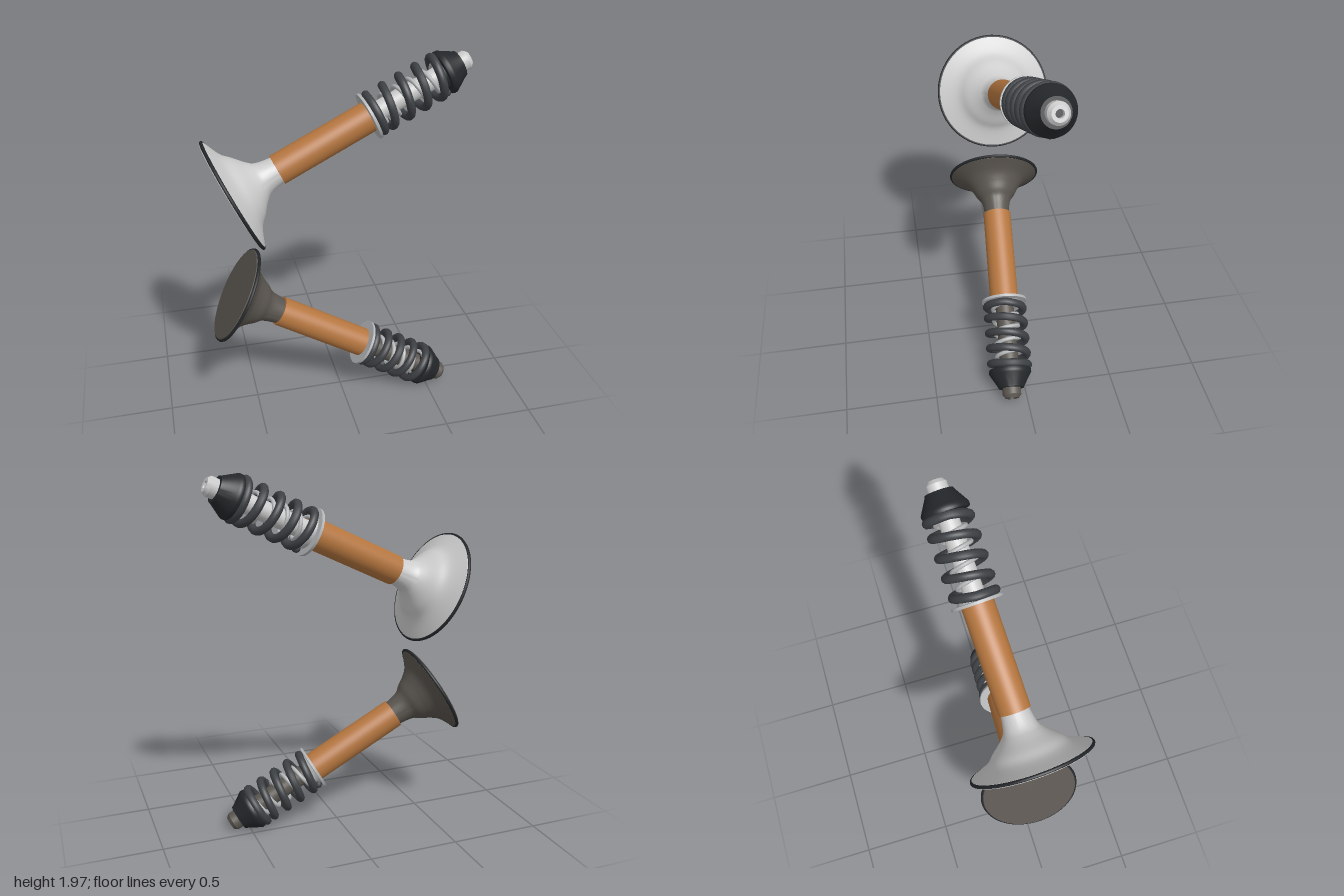
import * as THREE from 'three';
import { toCreasedNormals } from 'three/addons/utils/BufferGeometryUtils.js';

const mat = (color) => new THREE.MeshStandardMaterial({ color, side: THREE.DoubleSide });

function add(group, name, geometry, material) {
  const mesh = new THREE.Mesh(geometry, material);
  mesh.name = name;
  group.add(mesh);
  return mesh;
}

// Solid of revolution from [radius, height] pairs, with sharp edges kept
function turned(points, segments = 48) {
  const profile = points.map(([r, y]) => new THREE.Vector2(r, y));
  return toCreasedNormals(new THREE.LatheGeometry(profile, segments), 0.6);
}

// Coil with half a closed turn at each end
class Coil extends THREE.Curve {
  constructor(radius, y0, y1, turns, hand) {
    super();
    Object.assign(this, { radius, y0, y1, turns, hand });
  }
  getPoint(t, target = new THREE.Vector3()) {
    const dead = 0.5 / this.turns;
    const rise = THREE.MathUtils.clamp((t - dead) / (1 - 2 * dead), 0, 1);
    const a = this.hand * t * this.turns * Math.PI * 2;
    return target.set(
      this.radius * Math.cos(a),
      THREE.MathUtils.lerp(this.y0, this.y1, rise),
      this.radius * Math.sin(a)
    );
  }
}

function addSpring(group, name, coil, wire, material) {
  add(group, name, new THREE.TubeGeometry(coil, 220, wire, 10), material);
  for (const t of [0, 1]) {
    add(group, name + 'End', new THREE.SphereGeometry(wire, 10, 8), material)
      .position.copy(coil.getPoint(t));
  }
}

// One valve train: head at the local origin, stem running up local y
function createValve({ name, face, tip, headRadius, valveColor }) {
  const valve = new THREE.Group();
  valve.name = name;
  const axis = tip.clone().sub(face);
  const L = axis.length();
  const R = headRadius;
  const metal = mat(valveColor);
  const dark = mat(0x24272a);
  const steel = mat(0xb4b6b8);

  // Trumpet-shaped head running into the neck
  const flare = new THREE.SplineCurve([
    [R - 0.008, 0.022], [R * 0.69, 0.062], [R * 0.54, 0.106],
    [0.115, 0.155], [0.086, 0.198], [0.07, 0.29]
  ].map(([r, y]) => new THREE.Vector2(r, y))).getPoints(24).map((p) => [p.x, p.y]);
  add(valve, 'head', turned([[0, 0], [R - 0.01, 0], [R - 0.004, 0.008], ...flare], 64), metal);

  // Dark seating band around the head
  const band = add(valve, 'seatingBand', new THREE.TorusGeometry(R - 0.005, 0.009, 8, 64), dark);
  band.rotation.x = Math.PI / 2;
  band.position.y = 0.013;

  // Stem with chamfered tip and a small blind hole
  add(valve, 'stem', turned([
    [0.052, 0.28], [0.052, L - 0.018], [0.037, L], [0.02, L], [0.018, L - 0.02], [0, L - 0.02]
  ], 32), metal);
  const hole = add(valve, 'tipHole', new THREE.CircleGeometry(0.018, 24), dark);
  hole.rotation.x = -Math.PI / 2;
  hole.position.y = L - 0.019;

  // Bronze guide sleeve
  add(valve, 'guide', turned([
    [0.05, 0.275], [0.082, 0.275], [0.082, 0.845], [0.05, 0.845]
  ], 40), mat(0xb5763f));

  // Spring seat washer with a raised collar
  add(valve, 'springSeat', turned([
    [0.08, 0.818], [0.129, 0.818], [0.129, 0.832], [0.095, 0.834], [0.09, 0.85], [0.08, 0.85]
  ]), steel);

  // Outer and inner springs, wound in opposite directions
  const top = L - 0.178;
  addSpring(valve, 'outerSpring', new Coil(0.105, 0.855, top, 5, 1), 0.022, mat(0x3d4044));
  addSpring(valve, 'innerSpring', new Coil(0.069, 0.855, top, 6, -1), 0.011, steel);

  // Tapered retainer that locks onto the stem
  add(valve, 'retainer', turned([
    [0.05, L - 0.185], [0.085, L - 0.185], [0.088, L - 0.162], [0.116, L - 0.16],
    [0.119, L - 0.152], [0.119, L - 0.138], [0.113, L - 0.128],
    [0.076, L - 0.068], [0.07, L - 0.055], [0.05, L - 0.055]
  ]), dark);

  valve.position.copy(face);
  valve.quaternion.setFromUnitVectors(new THREE.Vector3(0, 1, 0), axis.normalize());
  return valve;
}

export function createModel() {
  const model = new THREE.Group();
  model.name = 'valvePair';
  model.add(
    createValve({
      name: 'intakeValve',
      face: new THREE.Vector3(-0.575, 1.335, 0),
      tip: new THREE.Vector3(0.708, 1.943, -0.09),
      headRadius: 0.316,
      valveColor: 0xe6e7e8
    }),
    createValve({
      name: 'exhaustValve',
      face: new THREE.Vector3(-0.59, 0.748, 0),
      tip: new THREE.Vector3(0.605, 0.058, 0.088),
      headRadius: 0.267,
      valveColor: 0x5a554f
    })
  );
  return model;
}
